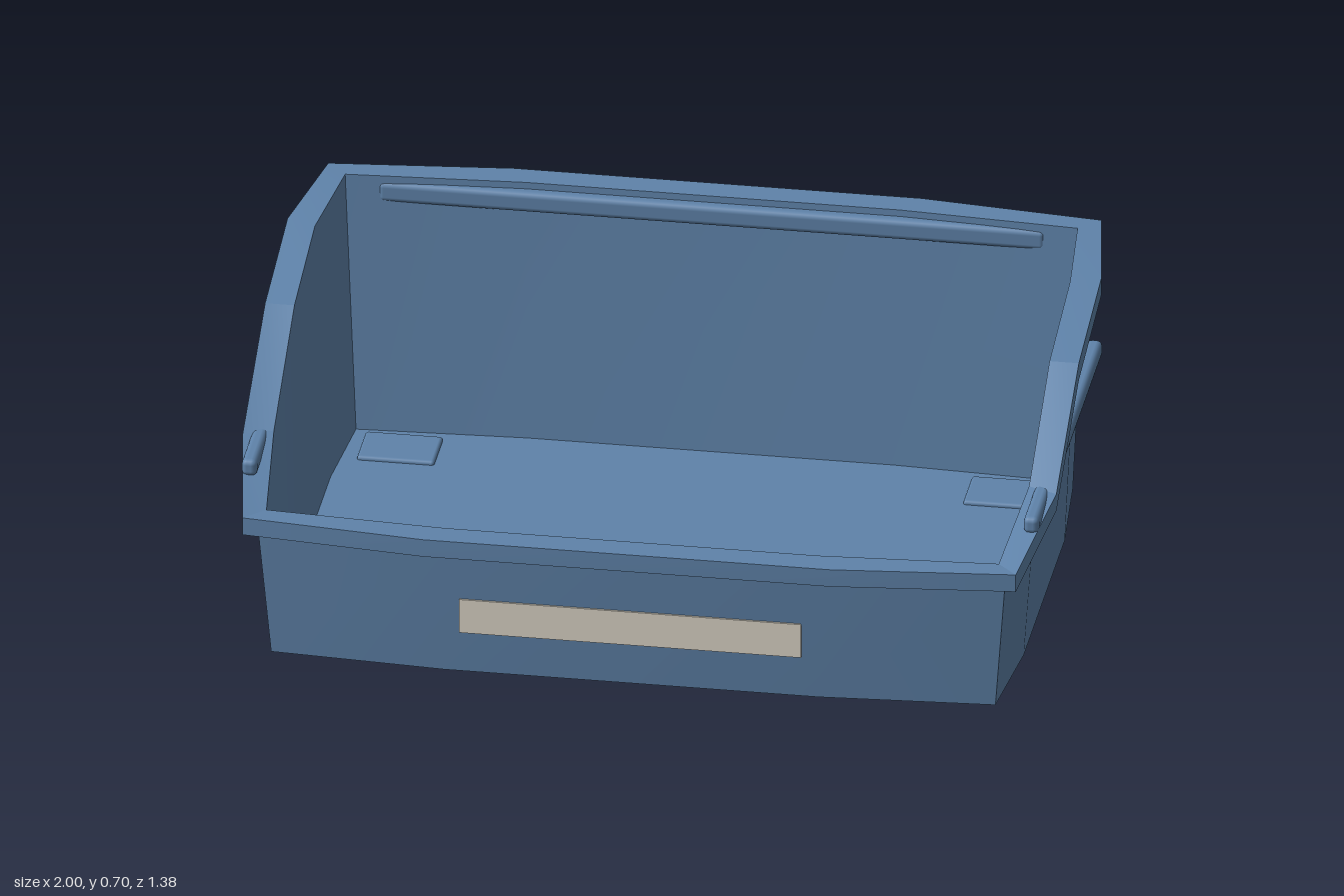
import * as THREE from 'three';
import { toCreasedNormals } from 'three/addons/utils/BufferGeometryUtils.js';
import { RoundedBoxGeometry } from 'three/addons/geometries/RoundedBoxGeometry.js';

// Rim height at each plan station, front to back
const RIM = [0.39, 0.39, 0.46, 0.645, 0.705, 0.705, 0.705];

// Bowed rectangular ring: hx, hz are mid-side half sizes, cx, cz the corner
function ring(hx, hz, cx, cz, bx, bz, height) {
  const half = [[bx, hz], [cx, cz], [hx, bz], [hx, 0], [hx, -bz], [cx, -cz], [bx, -hz]]
    .map(([x, z], i) => new THREE.Vector3(x, height(i), z));
  const mirrored = half.map((p) => new THREE.Vector3(-p.x, p.y, p.z)).reverse();
  return [...half, ...mirrored];
}

// Joins successive rings with quads; a one-point ring closes the surface
function loft(rings) {
  const pts = [];
  for (let r = 0; r < rings.length - 1; r++) {
    const lo = rings[r], hi = rings[r + 1];
    const n = Math.max(lo.length, hi.length);
    for (let i = 0; i < n; i++) {
      const j = (i + 1) % n;
      if (lo.length > 1) pts.push(lo[i], lo[j], hi[j % hi.length]);
      if (hi.length > 1) pts.push(lo[i % lo.length], hi[j], hi[i]);
    }
  }
  return toCreasedNormals(new THREE.BufferGeometry().setFromPoints(pts), 0.22);
}

export function createModel() {
  const group = new THREE.Group();
  const blue = new THREE.MeshStandardMaterial({ color: 0x5f83aa });
  const cream = new THREE.MeshStandardMaterial({ color: 0xd9d2c5 });

  const add = (name, geometry, material = blue) => {
    const mesh = new THREE.Mesh(geometry, material);
    mesh.name = name;
    group.add(mesh);
    return mesh;
  };
  // Rounded bar given by its minimum and maximum corners
  const bar = (name, min, max, radius) => {
    const size = max.map((v, i) => v - min[i]);
    add(name, new RoundedBoxGeometry(...size, 2, radius))
      .position.set(...max.map((v, i) => (v + min[i]) / 2));
  };

  const top = (i) => RIM[i];
  const under = (i) => RIM[i] - 0.046;
  const floorY = 0.03;

  const outerBase = ring(0.915, 0.612, 0.89, 0.585, 0.46, 0.31, () => 0);
  const outerTop = ring(0.945, 0.642, 0.918, 0.612, 0.47, 0.32, under);
  const innerTop = ring(0.928, 0.622, 0.9, 0.595, 0.46, 0.31, top);
  const innerBase = ring(0.888, 0.582, 0.868, 0.562, 0.45, 0.3, () => floorY);

  // Tapered tub: outside walls and underside
  add('tubOutside', loft([[new THREE.Vector3()], outerBase, outerTop]));

  // Overhanging lip that follows the sloping sides
  add('rim', loft([
    outerTop,
    ring(1, 0.692, 0.95, 0.647, 0.5, 0.34, under),
    ring(1, 0.692, 0.95, 0.647, 0.5, 0.34, top),
    innerTop,
  ]));

  // Inside walls and floor
  add('tubInside', loft([innerTop, innerBase, [new THREE.Vector3(0, floorY, 0)]]));

  for (const s of [-1, 1]) {
    const side = s > 0 ? 'left' : 'right';
    // Side rails, passing through the sloping lip
    const xs = [s * 0.942, s * 0.98].sort((a, b) => a - b);
    bar(side + 'Rail', [xs[0], 0.42, -0.488], [xs[1], 0.464, 0.488], 0.014);
    // Raised floor pads
    for (const z of [0.46, -0.47]) {
      bar(side + (z > 0 ? 'Front' : 'Back') + 'Pad',
        [s * 0.745 - 0.095, floorY - 0.015, z - 0.07],
        [s * 0.745 + 0.095, floorY + 0.01, z + 0.07], 0.008);
    }
  }

  // Rail along the back wall
  bar('backRail', [-0.82, 0.635, -0.655], [0.82, 0.688, -0.595], 0.014);

  // Blank label plate on the front
  add('labelPlate', new THREE.BoxGeometry(0.84, 0.09, 0.03), cream)
    .position.set(0, 0.16, 0.62);

  return group;
}
